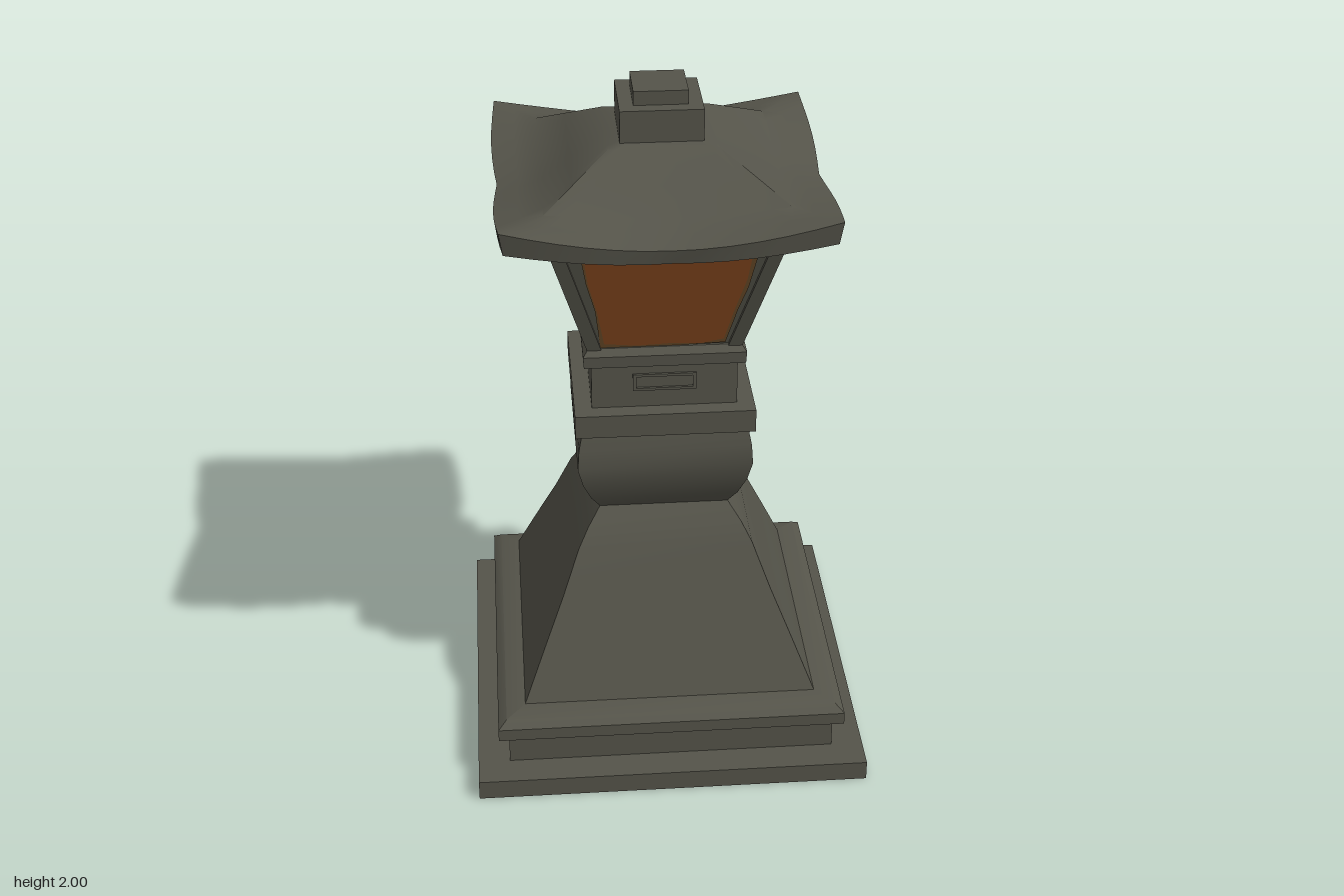
import * as THREE from 'three';
import { toCreasedNormals } from 'three/addons/utils/BufferGeometryUtils.js';

const stone = new THREE.MeshStandardMaterial({ color: 0x55544a });
stone.name = 'weathered stone';
const glow = new THREE.MeshStandardMaterial({ color: 0x86481f });
glow.name = 'amber pane';
const fringe = new THREE.MeshStandardMaterial({ color: 0x6b4d2a });
fringe.name = 'brown pane edge';

// Square loft through rings { h: half width, y, dip: mid-side drop, bulge, x, z: centre }
function loft(rings, perSide = 1, crease = 0.6) {
  const corners = [[-1, 1], [1, 1], [1, -1], [-1, -1]];
  const count = perSide * 4;
  const pos = [], index = [];
  for (const { h, y, dip = 0, bulge = 0, x = 0, z = 0 } of rings) {
    for (let j = 0; j < count; j++) {
      const side = Math.floor(j / perSide);
      const a = corners[side], b = corners[(side + 1) % 4];
      const f = (j % perSide) / perSide;
      const t = Math.abs(f * 2 - 1);
      const out = bulge * Math.sin(Math.PI * t);
      // outward direction of this side
      const nx = (a[0] + b[0]) / 2, nz = (a[1] + b[1]) / 2;
      pos.push(
        x + (a[0] + (b[0] - a[0]) * f) * h + nx * out,
        y - dip * (1 - Math.pow(t, 1.5)),
        z + (a[1] + (b[1] - a[1]) * f) * h + nz * out
      );
    }
  }
  for (let i = 0; i < rings.length - 1; i++) {
    for (let j = 0; j < count; j++) {
      const k = (j + 1) % count;
      const a = i * count + j, b = i * count + k;
      index.push(a, b, b + count, a, b + count, a + count);
    }
  }
  const geo = new THREE.BufferGeometry();
  geo.setAttribute('position', new THREE.Float32BufferAttribute(pos, 3));
  geo.setIndex(index);
  return toCreasedNormals(geo, crease);
}

const profile = (pairs) => pairs.map(([h, y]) => ({ h, y }));

// Half width of the lamp house at a height
const houseHalf = (y) => 0.2 + (y - 1.27) * 0.29;

// Flat outline laid on the sloping wall of the lamp house
function pane(points, lift) {
  const geo = new THREE.ShapeGeometry(new THREE.Shape(points.map(([x, y]) => new THREE.Vector2(x, y))));
  const p = geo.attributes.position;
  for (let i = 0; i < p.count; i++) p.setZ(i, houseHalf(p.getY(i)) + lift);
  geo.computeVertexNormals();
  return geo;
}

export function createModel() {
  const model = new THREE.Group();
  const add = (name, geo, mat = stone, parent = model) => {
    const mesh = new THREE.Mesh(geo, mat);
    mesh.name = name;
    parent.add(mesh);
    return mesh;
  };
  const slab = (name, half, y0, y1) =>
    add(name, new THREE.BoxGeometry(half * 2, y1 - y0, half * 2)).position.y = (y0 + y1) / 2;

  // Stepped base, with a square socket underneath
  add('footSlab', loft(profile([[0, 0.04], [0.085, 0.04], [0.085, 0], [0.573, 0], [0.573, 0.06], [0, 0.06]])));
  slab('plinth', 0.48, 0.06, 0.165);
  add('plinthCap', loft(profile([[0, 0.16], [0.51, 0.16], [0.51, 0.198], [0.485, 0.218], [0.42, 0.23], [0, 0.23]])));

  // Flared pedestal and rounded neck
  add('pedestal', loft(profile([[0.43, 0.225], [0.365, 0.38], [0.305, 0.52],
    [0.255, 0.65], [0.225, 0.705], [0.187, 0.757]])));
  add('neck', loft(profile([[0.187, 0.755], [0.214, 0.8], [0.238, 0.86], [0.252, 0.92],
    [0.248, 0.98], [0.237, 1.035]])));
  slab('collar', 0.257, 1.03, 1.1);
  slab('lampPedestal', 0.207, 1.1, 1.25);
  add('lampSill', loft(profile([[0, 1.24], [0.228, 1.24], [0.23, 1.275], [0.215, 1.295], [0, 1.295]])));

  // Raised frames on the front and left of the lamp pedestal
  const frameShape = new THREE.Shape([[-0.09, -0.026], [0.09, -0.026], [0.09, 0.026], [-0.09, 0.026]]
    .map(([x, y]) => new THREE.Vector2(x, y)));
  frameShape.holes.push(new THREE.Path([[-0.08, -0.018], [-0.08, 0.018], [0.08, 0.018], [0.08, -0.018]]
    .map(([x, y]) => new THREE.Vector2(x, y))));
  const frameGeo = new THREE.ExtrudeGeometry(frameShape, { depth: 0.008, bevelEnabled: false });
  for (const turn of [0, Math.PI / 2]) {
    const holder = new THREE.Group();
    holder.name = 'pedestalFrame';
    holder.rotation.y = turn;
    add('frame', frameGeo, stone, holder).position.set(0, 1.18, 0.206);
    model.add(holder);
  }

  // Lamp house widening upward, with corner posts
  add('lampHouse', loft([{ h: houseHalf(1.27), y: 1.27 }, { h: houseHalf(1.71), y: 1.71 }]));
  for (const sx of [-1, 1]) for (const sz of [-1, 1]) {
    const at = (y) => ({ h: 0.02, y, x: sx * (houseHalf(y) - 0.008), z: sz * (houseHalf(y) - 0.008) });
    add('cornerPost', loft([at(1.27), at(1.72)]));
  }

  // Painted panes with worn edges on all four sides
  const paneGeo = pane([[-0.17, 1.31], [-0.08, 1.3], [0.02, 1.305], [0.1, 1.3], [0.165, 1.315],
    [0.19, 1.42], [0.22, 1.53], [0.235, 1.65], [0.1, 1.655], [0.06, 1.645], [-0.08, 1.655],
    [-0.23, 1.65], [-0.215, 1.53], [-0.19, 1.43]], 0.005);
  const edgeGeo = pane([[-0.18, 1.295], [-0.05, 1.292], [0.17, 1.3], [0.2, 1.42], [0.225, 1.5],
    [0.247, 1.62], [0.245, 1.668], [0.08, 1.675], [0.03, 1.655], [-0.1, 1.662], [-0.24, 1.658],
    [-0.22, 1.53], [-0.195, 1.43]], 0.003);
  for (let i = 0; i < 4; i++) {
    const side = new THREE.Group();
    side.name = 'lampWindow';
    side.rotation.y = i * Math.PI / 2;
    add('paneEdge', edgeGeo, fringe, side);
    add('pane', paneGeo, glow, side);
    model.add(side);
  }

  // Roof with lifted corners and a wavy eave
  add('roof', loft([
    { h: 0, y: 1.69 },
    { h: 0.33, y: 1.695, dip: 0.015 },
    { h: 0.44, y: 1.705, dip: 0.04, bulge: 0.015 },
    { h: 0.45, y: 1.772, dip: 0.065, bulge: 0.012 },
    { h: 0.39, y: 1.766, dip: 0.045, bulge: 0.006 },
    { h: 0.33, y: 1.764, dip: 0.022 },
    { h: 0.25, y: 1.81, dip: 0.01 },
    { h: 0.15, y: 1.867 },
    { h: 0, y: 1.875 },
  ], 12, 0.75));

  // Stepped finial
  slab('finialBase', 0.115, 1.86, 1.96);
  slab('finialTop', 0.075, 1.96, 2.0);

  return model;
}
